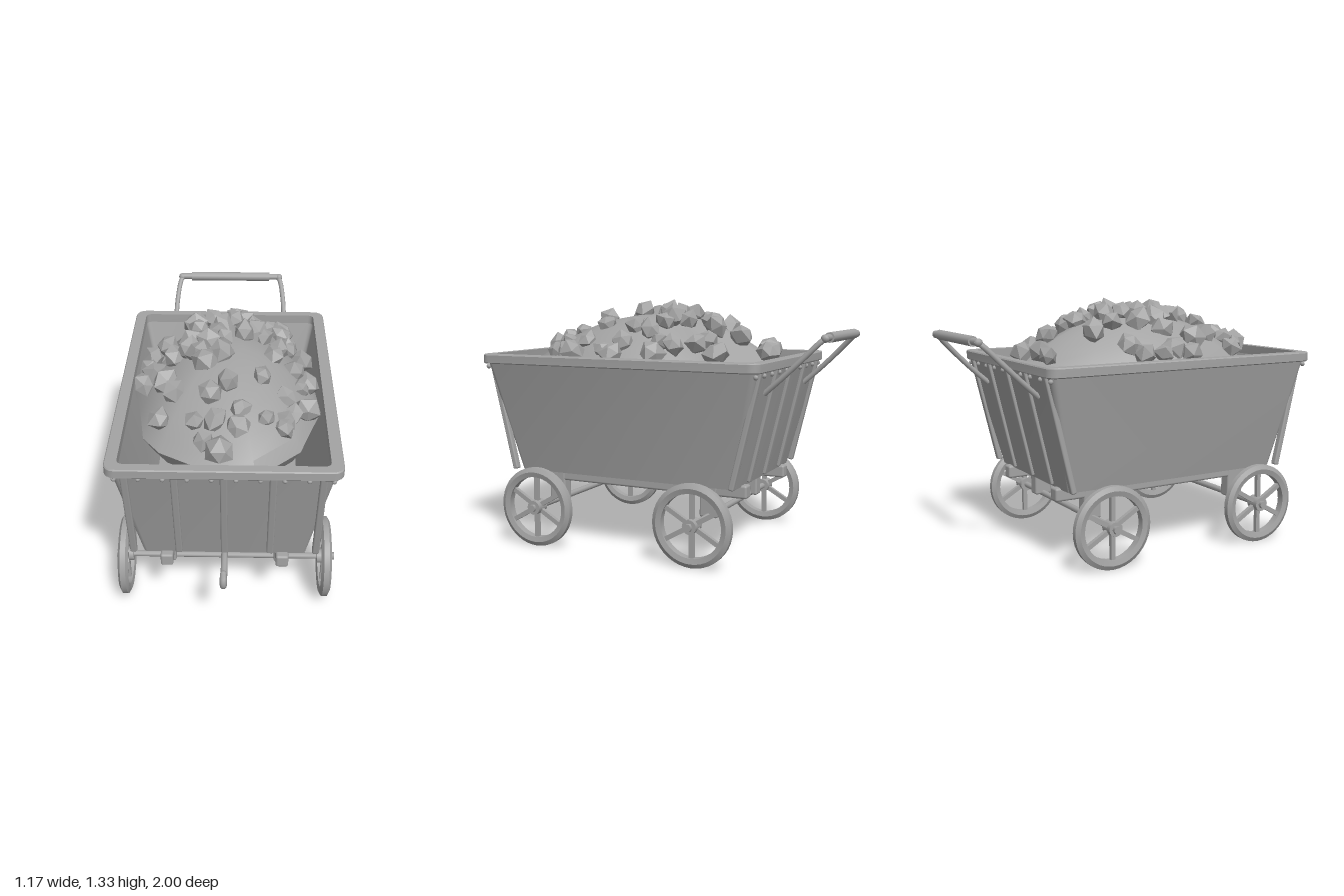
import * as THREE from 'three';
import { toCreasedNormals } from 'three/addons/utils/BufferGeometryUtils.js';
import { RoundedBoxGeometry } from 'three/addons/geometries/RoundedBoxGeometry.js';

const MID = 0.075; // z of the hopper's centre

export function createModel() {
  const root = new THREE.Group();
  root.name = 'mineCart';
  const grey = new THREE.MeshStandardMaterial({ color: 0xa3a3a3 });
  grey.name = 'grey';

  let seed = 7;
  const rand = () => (seed = (seed * 16807) % 2147483647) / 2147483647;

  const add = (parent, name, geo, x = 0, y = 0, z = 0) => {
    const m = new THREE.Mesh(geo, grey);
    m.name = name;
    m.position.set(x, y, z);
    parent.add(m);
    return m;
  };
  const group = (name, parent = root) => {
    const g = new THREE.Group();
    g.name = name;
    parent.add(g);
    return g;
  };
  const rodX = (r, len, sides) => new THREE.CylinderGeometry(r, r, len, sides).rotateZ(Math.PI / 2);

  // Skin between rings of equal point count
  const skin = (rings, crease = 0.5) => {
    const n = rings[0].length, pos = rings.flat(2), idx = [];
    for (let i = 0; i < rings.length - 1; i++)
      for (let j = 0; j < n; j++) {
        const k = (j + 1) % n, a = i * n + j, b = i * n + k, c = b + n, d = a + n;
        idx.push(a, b, c, a, c, d);
      }
    const g = new THREE.BufferGeometry();
    g.setAttribute('position', new THREE.Float32BufferAttribute(pos, 3));
    g.setIndex(idx);
    return toCreasedNormals(g, crease);
  };

  // Rounded rectangle ring, counter-clockwise from above
  const rect = (hx, hz, y, r) => {
    const pts = [];
    for (let q = 0; q < 4; q++)
      for (let s = 0; s <= 4; s++) {
        const a = (q + s / 4) * Math.PI / 2;
        const sx = q === 0 || q === 3 ? 1 : -1, sz = q < 2 ? -1 : 1;
        pts.push([sx * (hx - r) + r * Math.cos(a), y, MID + sz * (hz - r) - r * Math.sin(a)]);
      }
    return pts;
  };

  // Hopper shell and rim
  add(root, 'hopper', skin([
    rect(0, 0, 0.39, 0), rect(0.415, 0.635, 0.39, 0.02), rect(0.527, 0.78, 1.0, 0.03),
    rect(0.505, 0.755, 1.0, 0.03), rect(0.395, 0.615, 0.42, 0.02), rect(0, 0, 0.42, 0),
  ]));
  add(root, 'hopperRim', skin([
    rect(0.5, 0.75, 0.985, 0.03), rect(0.555, 0.795, 0.985, 0.05), rect(0.56, 0.8, 0.99, 0.055),
    rect(0.56, 0.8, 1.03, 0.055), rect(0.555, 0.795, 1.036, 0.05), rect(0.5, 0.75, 1.036, 0.03),
    rect(0.5, 0.75, 0.985, 0.03),
  ]));

  // Ribs and rivets on both end walls
  for (const end of [1, -1]) {
    const wall = group(end > 0 ? 'frontRibs' : 'backRibs');
    for (const x of [-0.465, -0.232, 0, 0.232, 0.465]) {
      const rib = add(wall, 'rib', new RoundedBoxGeometry(0.036, 0.615, 0.03, 2, 0.008), x, 0.7, MID + end * 0.709);
      rib.rotation.x = end * 0.235;
    }
    for (let i = 0; i < 10; i++)
      add(wall, 'rivet', new THREE.SphereGeometry(0.013, 8, 6), -0.513 + i * 0.114, 0.967, MID + end * 0.775);
  }

  // Chassis rails with axle blocks
  const chassis = group('chassis');
  for (const x of [-0.295, 0.295]) {
    add(chassis, 'rail', new RoundedBoxGeometry(0.065, 0.07, 1.34, 2, 0.012), x, 0.362, 0.08);
    for (const z of [0.54, -0.38])
      add(chassis, 'axleBlock', new RoundedBoxGeometry(0.07, 0.18, 0.1, 2, 0.012), x, 0.3, z);
  }

  // Axles and spoked wheels
  const tyre = toCreasedNormals(new THREE.LatheGeometry([
    [0.165, -0.02], [0.192, -0.027], [0.215, -0.014], [0.215, 0.014], [0.192, 0.027], [0.165, 0.02], [0.165, -0.02],
  ].map(p => new THREE.Vector2(...p)), 40).rotateZ(Math.PI / 2), 0.5);
  for (const z of [0.54, -0.38]) {
    add(root, 'axle', rodX(0.017, 1.13, 10), 0, 0.217, z);
    for (const side of [1, -1]) {
      const wheel = group('wheel');
      wheel.position.set(side * 0.53, 0.217, z);
      add(wheel, 'wheelRim', tyre);
      add(wheel, 'hub', rodX(0.038, 0.075, 16));
      add(wheel, 'axleNut', rodX(0.021, 0.03, 6), side * 0.041);
      for (let i = 0; i < 6; i++) {
        const a = i * Math.PI / 3;
        const spoke = add(wheel, 'spoke', new THREE.BoxGeometry(0.022, 0.15, 0.024), 0, Math.cos(a) * 0.1, Math.sin(a) * 0.1);
        spoke.rotation.x = a;
      }
    }
  }

  // Tow hook and push handle
  const tube = (pts, r) => new THREE.TubeGeometry(
    new THREE.CatmullRomCurve3(pts.map(p => new THREE.Vector3(...p))), 28, r, 10);
  const hook = group('towHook');
  add(hook, 'hookBar', tube([[0, 0.38, 0.66], [0, 0.375, 0.76], [0, 0.363, 0.87], [0, 0.385, 0.94],
    [0, 0.425, 0.982], [0, 0.457, 0.975], [0, 0.467, 0.95]], 0.017));
  add(hook, 'hookTip', new THREE.SphereGeometry(0.017, 10, 8), 0, 0.467, 0.95);
  const handle = group('handle');
  for (const s of [1, -1]) {
    add(handle, 'handleArm', tube([[s * 0.325, 0.87, -0.675], [s * 0.33, 0.945, -0.76], [s * 0.325, 1.045, -0.865],
      [s * 0.305, 1.135, -0.955], [s * 0.29, 1.15, -0.973]], 0.014));
    add(handle, 'handleJoint', new THREE.SphereGeometry(0.021, 10, 8), s * 0.3, 1.148, -0.97);
  }
  add(handle, 'handleBar', rodX(0.018, 0.6, 12), 0, 1.15, -0.973);
  add(handle, 'grip', rodX(0.026, 0.48, 12), 0, 1.15, -0.973);

  // Mound with an irregular outline, counter-clockwise from above
  const outline = [[0.49, 0.25], [0.46, -0.1], [0.38, -0.22], [0.35, -0.44], [0.2, -0.47], [0.06, -0.65], [-0.04, -0.66],
    [-0.15, -0.58], [-0.33, -0.42], [-0.38, -0.2], [-0.5, 0.05], [-0.45, 0.25], [-0.41, 0.5], [-0.32, 0.62],
    [-0.05, 0.78], [0.15, 0.81], [0.37, 0.6], [0.42, 0.45]];
  const height = s => 0.95 + 0.3 * Math.pow(Math.max(0, 1 - s * s), 0.9);
  const ring = (s, y) => outline.map(([x, z]) => [x * s, y, 0.04 + (z - 0.04) * s]);
  const levels = [1, 0.92, 0.8, 0.65, 0.5, 0.34, 0.17, 0];
  add(root, 'mound', skin([ring(0, 0.85), ring(0.9, 0.85), ...levels.map(s => ring(s, height(s)))], 0.6));

  // Lumps: x and z in hundredths, resting on the mound
  const spots = [
    -18, -55, -8, -55, 5, -60, 4, -45, 30, -41, 8, -32, 28, -29, 23, -33, -18, -29, -15, -17, -2, -14, 13, -18,
    33, -18, -33, -16, -40, -12, -41, 0, -38, 8, -43, 16, -27, 8, -18, -2, -10, 3, -2, 2, -15, 13, -11, 20,
    -2, 16, 9, -5, 19, -7, 27, -2, 33, -10, 40, -9, 25, 8, 35, 10, 42, 13, 38, 21, -31, 24, -26, 35,
    1, 37, -8, 43, 18, 29, 30, 34, 41, 38, 33, 42, 30, 49, 20, 52, 29, 54, -32, 49, -15, 56, -5, 57,
    7, 51, 6, 60, -10, 67, -2, 74, 14, -9, -6, -6, 3, -28, -19, 8];
  const load = group('lumps');
  for (let i = 0; i < spots.length; i += 2) {
    const x = spots[i] / 100, z = spots[i + 1] / 100;
    const s = Math.hypot(x / 0.47, (z - 0.04) / 0.74);
    const geo = new THREE.IcosahedronGeometry(0.052 + rand() * 0.018, 0);
    // Same seeded stretch for corners that coincide
    const p = geo.attributes.position, k = rand() * 9;
    for (let v = 0; v < p.count; v++) {
      const f = 1 + 0.2 * Math.sin(p.getX(v) * 61 + p.getY(v) * 83 + p.getZ(v) * 47 + k);
      p.setXYZ(v, p.getX(v) * f, p.getY(v) * f, p.getZ(v) * f);
    }
    geo.computeVertexNormals();
    const lump = add(load, 'lump', geo, x, Math.max(height(s), 1.04) + 0.015, z);
    lump.rotation.set(rand() * 6, rand() * 6, rand() * 6);
  }
  return root;
}
